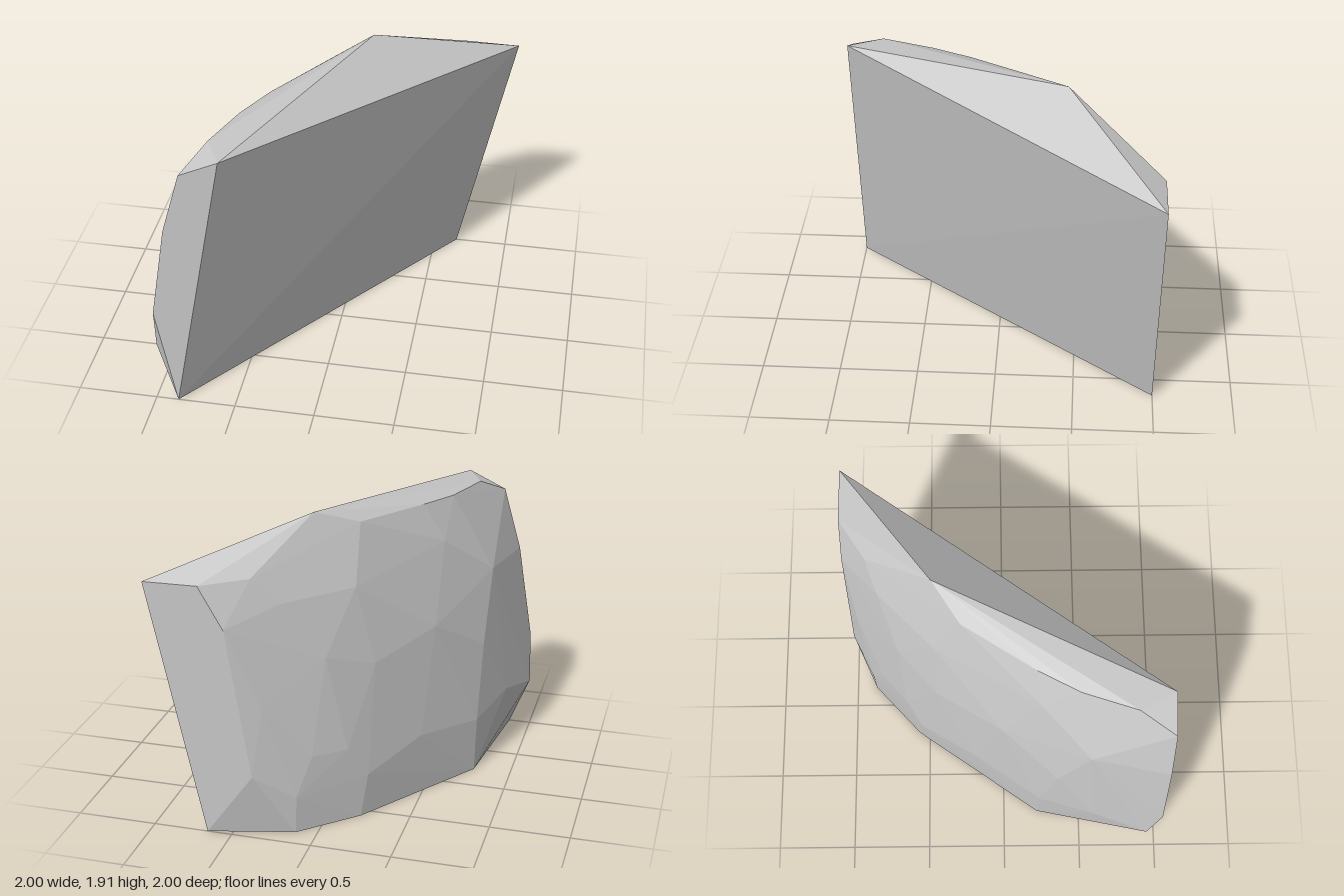
import * as THREE from 'three';
import { ConvexGeometry } from 'three/addons/geometries/ConvexGeometry.js';

// Corners of the flat cut faces: x, y, z
const cutCorners = [
  [-0.53, 1.8, 1], [1, 1.605, -1], [0.655, 0, -1], [-0.86, 0, 1], // large flat face
  [0.13, 1.915, -0.42], // peak
  [-0.98, 0.67, 1], [-0.88, 1.29, 1], [-0.765, 1.69, 1], [-1, 0.36, 0.92], // one end
  [0.66, 1.61, -1], [0.51, 1.35, -1], [0.36, 0.41, -1], // other end
  [0.13, 0, -0.87], [-0.2, 0, -0.57], [-0.76, 0, 0.22], // foot of the rough side
  [-0.64, 1.8, 0.78], [-0.53, 1.8, 0.45], [-0.4, 1.81, 0.2], [-0.11, 1.82, -0.25], // upper ridge
];

// Facet corners of the rough side: distance along it, distance out, height
const roughCorners = [
  [-0.81, 0.45, 1.62], [-0.64, 0.49, 1.455], [-0.14, 0.415, 1.465], [0.56, 0.13, 1.575],
  [-0.38, 0.54, 1.09], [-0.04, 0.485, 0.98], [0.43, 0.315, 1.09], [0.95, 0.03, 1.305],
  [-0.8, 0.585, 0.84], [0.83, 0.18, 0.855], [-0.5, 0.62, 0.49], [-0.26, 0.595, 0.485],
  [-0.61, 0.64, 0.24], [-0.12, 0.58, 0.28], [0.295, 0.435, 0.41], [0.76, 0.264, 0.36],
  [1.07, 0.05, 0.44],
];

export function createModel() {
  const group = new THREE.Group();
  group.name = 'rockChunk';
  const stone = new THREE.MeshStandardMaterial({ color: 0xc6c6c6 });
  stone.name = 'stone grey';

  const points = cutCorners.map((p) => new THREE.Vector3(...p));
  // Turn the rough side's own axes into x and z
  for (const [along, out, y] of roughCorners) {
    points.push(new THREE.Vector3(-0.81 * along - 0.58 * out, y, 0.58 * along - 0.81 * out));
  }

  // Faceted convex stone
  const rock = new THREE.Mesh(new ConvexGeometry(points), stone);
  rock.name = 'rock';
  group.add(rock);
  return group;
}
